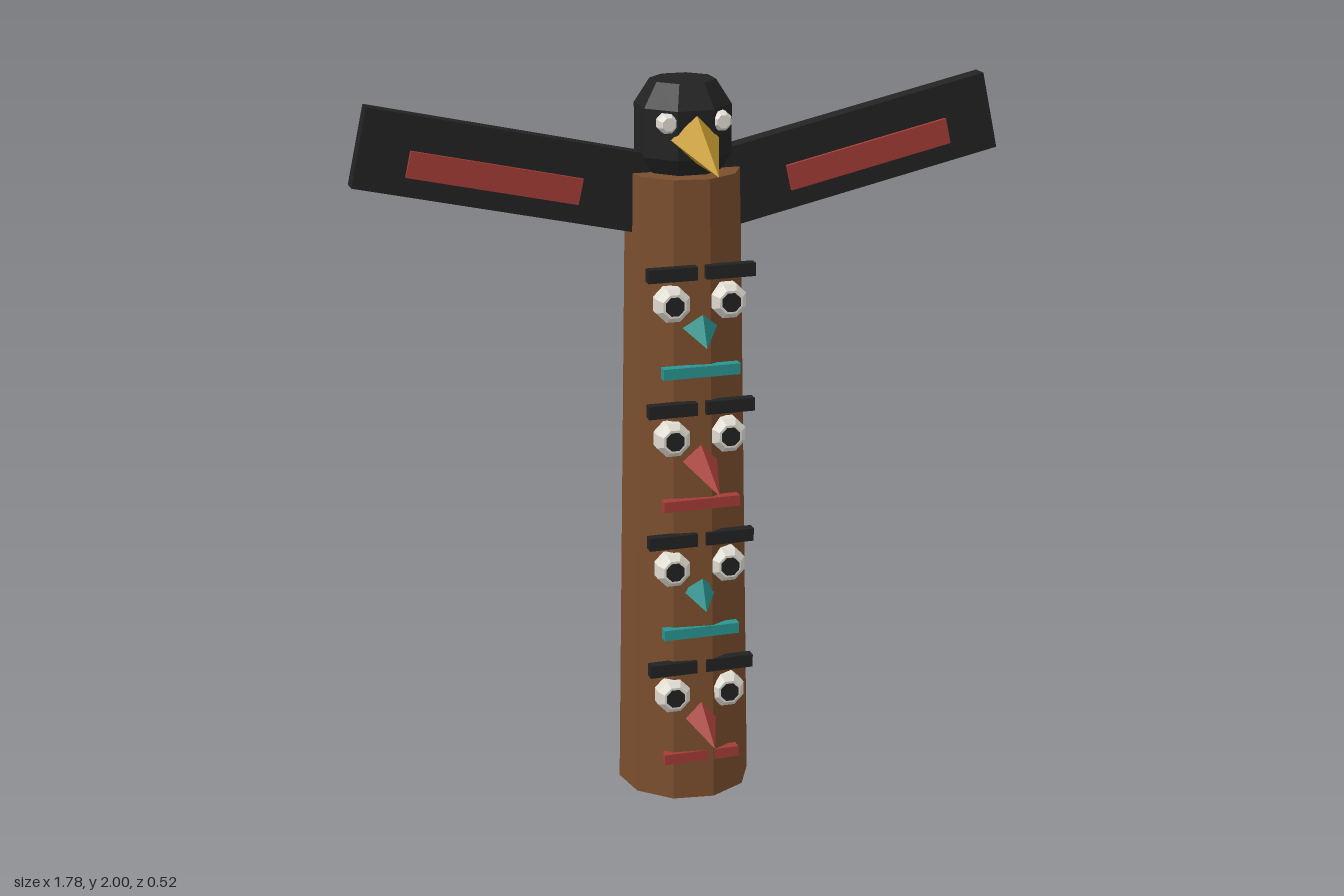
import * as THREE from 'three';

const paint = (name, color) => {
  const m = new THREE.MeshStandardMaterial({ color, flatShading: true });
  m.name = name;
  return m;
};

export function createModel() {
  const wood = paint('brown wood', 0x7a4e2d);
  const black = paint('black', 0x222222);
  const white = paint('white', 0xe0dcd2);
  const red = paint('red', 0xa33c36);
  const teal = paint('teal', 0x2a9590);
  const gold = paint('gold', 0xc49a30);

  const AXIS = -0.08; // z of the pole's axis
  const model = new THREE.Group();
  model.name = 'carvedPole';

  const add = (parent, name, geometry, material, x, y, z) => {
    const mesh = new THREE.Mesh(geometry, material);
    mesh.name = name;
    mesh.position.set(x, y, z);
    parent.add(mesh);
    return mesh;
  };

  const box = (parent, name, material, size, pos) =>
    add(parent, name, new THREE.BoxGeometry(...size), material, ...pos);

  // Eight-sided solid with chamfered ends; r is measured to the flats
  const octagon = (r, d) => {
    const R = r / Math.cos(Math.PI / 8);
    const profile = [[0, -d], [R * 0.68, -d], [R, -d / 2], [R, d / 2], [R * 0.68, d], [0, d]];
    return new THREE.LatheGeometry(profile.map(p => new THREE.Vector2(...p)), 8, Math.PI / 8);
  };

  // Four-sided spike on the centre plane, from (y, z) base to (y, z) tip
  const spike = (parent, name, material, r, base, tip) => {
    const a = new THREE.Vector3(0, ...base);
    const dir = new THREE.Vector3(0, ...tip).sub(a);
    const length = dir.length();
    const geometry = new THREE.ConeGeometry(r, length, 4).translate(0, length / 2, 0);
    const mesh = add(parent, name, geometry, material, a.x, a.y, a.z);
    mesh.quaternion.setFromUnitVectors(new THREE.Vector3(0, 1, 0), dir.normalize());
  };

  // Tapered ten-sided pole
  const pole = add(model, 'pole', new THREE.CylinderGeometry(0.155, 0.185, 1.76, 10), wood, 0, 0.88, AXIS);
  pole.rotation.y = 0.18;

  // Four carved faces, from the bottom up
  const faces = [
    { material: red, reach: 0.22 },
    { material: teal, reach: 0.14 },
    { material: red, reach: 0.257 },
    { material: teal, reach: 0.14 },
  ];
  faces.forEach(({ material, reach }, i) => {
    const face = new THREE.Group();
    face.name = 'face' + (i + 1);
    face.position.y = 0.313 + i * 0.373;
    model.add(face);
    for (const s of [1, -1]) {
      const side = s > 0 ? 'left' : 'right';
      box(face, side + 'Brow', black, [0.135, 0.036, 0.028], [s * 0.08, 0.083, 0.084]);
      add(face, side + 'Eye', octagon(0.046, 0.032).rotateX(Math.PI / 2), white, s * 0.078, 0, 0.073);
      const pupil = new THREE.CylinderGeometry(0.027, 0.027, 0.009, 8, 1, false, Math.PI / 8);
      add(face, side + 'Pupil', pupil.rotateX(Math.PI / 2), black, s * 0.078, 0, 0.104);
    }
    spike(face, 'nose', material, 0.048, [-0.068, 0.075], [-0.112, reach]);
    box(face, 'mouth', material, [0.214, 0.03, 0.028], [0, -0.187, 0.084]);
  });

  // Bird on top: head, beak, eyes
  const bird = new THREE.Group();
  bird.name = 'bird';
  model.add(bird);
  add(bird, 'head', octagon(0.12, 0.13), black, 0, 1.87, AXIS);
  spike(bird, 'beak', gold, 0.066, [1.86, 0.03], [1.8, 0.238]);

  // Mirrored eyes and raised wings with coloured panels
  for (const s of [1, -1]) {
    const side = s > 0 ? 'left' : 'right';
    add(bird, side + 'BirdEye', octagon(0.025, 0.025).rotateX(Math.PI / 2), white, s * 0.074, 1.903, 0.02);
    const wing = box(bird, side + 'Wing', black, [0.8, 0.212, 0.05], [s * 0.478, 1.784, AXIS]);
    const panel = box(bird, side + 'WingPanel', red, [0.466, 0.07, 0.012], [s * 0.516, 1.772, -0.05]);
    wing.rotation.z = panel.rotation.z = s * 0.22;
  }

  return model;
}
